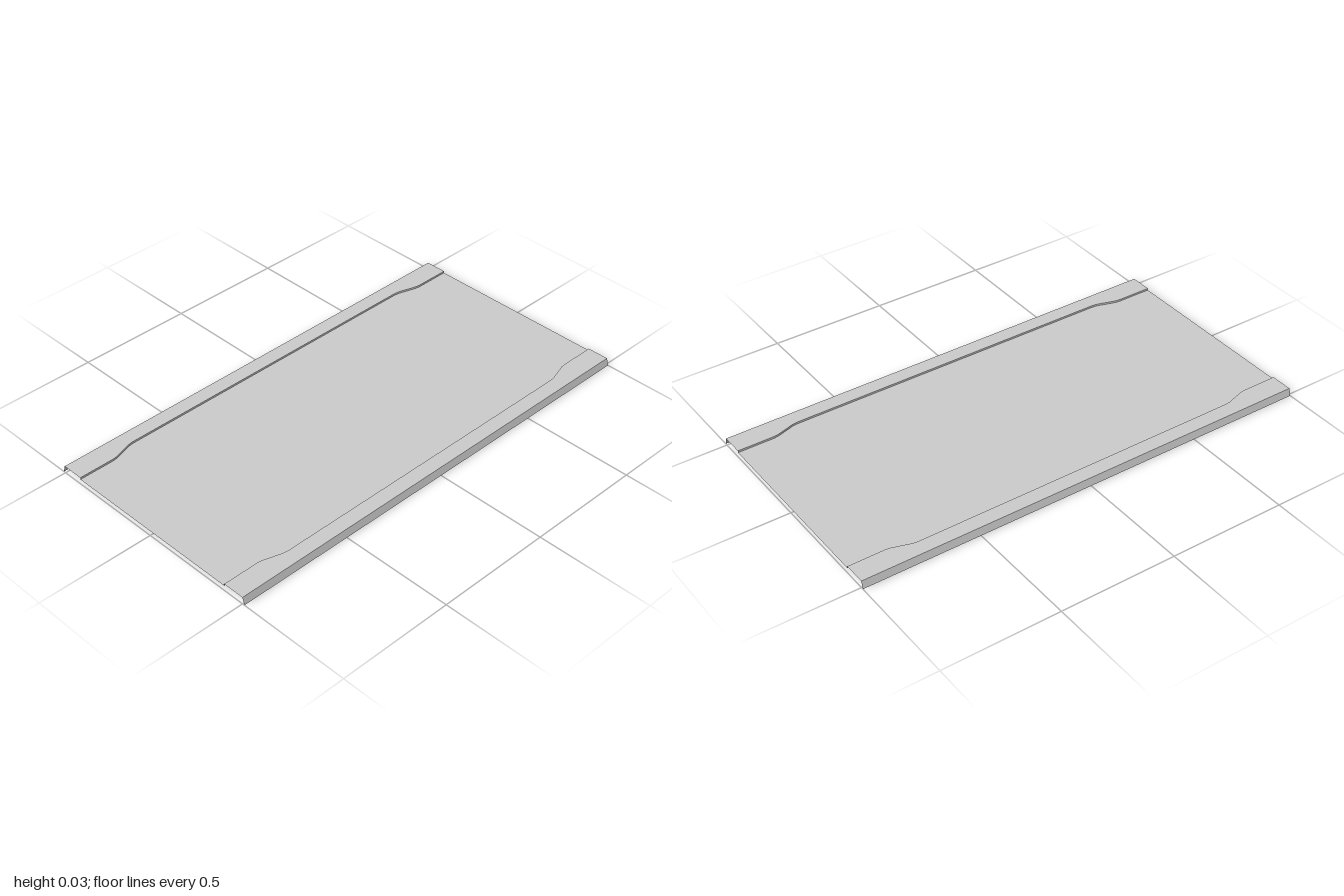
import * as THREE from 'three';

const PANEL_Y = 0.0225, RIM_Y = 0.031;
const RIM_X = 0.501, LIP_X = 0.51;

// Half-width of the sunken panel along z: narrower at both ends, softly jogged
const jog = [[0.406, 1], [0.406, 0.842], [0.409, 0.822], [0.433, 0.745], [0.436, 0.724]];
const stations = [...jog, ...jog.map(([x, z]) => [x, -z]).reverse()];

// Flat-shaded sheet spanning two edges, each a list of [x, y, z] running front to back
function ribbon(name, left, right, material) {
  const positions = [];
  for (let i = 0; i < left.length - 1; i++) {
    const a = left[i], b = right[i], c = right[i + 1], d = left[i + 1];
    positions.push(...a, ...b, ...c, ...a, ...c, ...d);
  }
  const geometry = new THREE.BufferGeometry();
  geometry.setAttribute('position', new THREE.Float32BufferAttribute(positions, 3));
  geometry.computeVertexNormals();
  const mesh = new THREE.Mesh(geometry, material);
  mesh.name = name;
  return mesh;
}

export function createModel() {
  const group = new THREE.Group();
  group.name = 'flangedPanel';
  const material = new THREE.MeshStandardMaterial({ color: 0xcccccc, side: THREE.DoubleSide });

  const jogEdge = (side, y) => stations.map(([x, z]) => [side * x, y, z]);
  const straightEdge = (x, y) => stations.map(([, z]) => [x, y, z]);

  // Sunken middle sheet
  group.add(ribbon('panel', jogEdge(-1, PANEL_Y), jogEdge(1, PANEL_Y), material));

  // Step, raised rim and turned-down lip on each side
  for (const [side, label] of [[1, 'left'], [-1, 'right']]) {
    const strip = (name, inner, outer) => group.add(
      side > 0 ? ribbon(label + name, inner, outer, material) : ribbon(label + name, outer, inner, material));
    strip('Step', jogEdge(side, PANEL_Y), jogEdge(side, RIM_Y));
    strip('Rim', jogEdge(side, RIM_Y), straightEdge(side * RIM_X, RIM_Y));
    strip('Lip', straightEdge(side * RIM_X, RIM_Y), straightEdge(side * LIP_X, 0));
  }
  return group;
}
